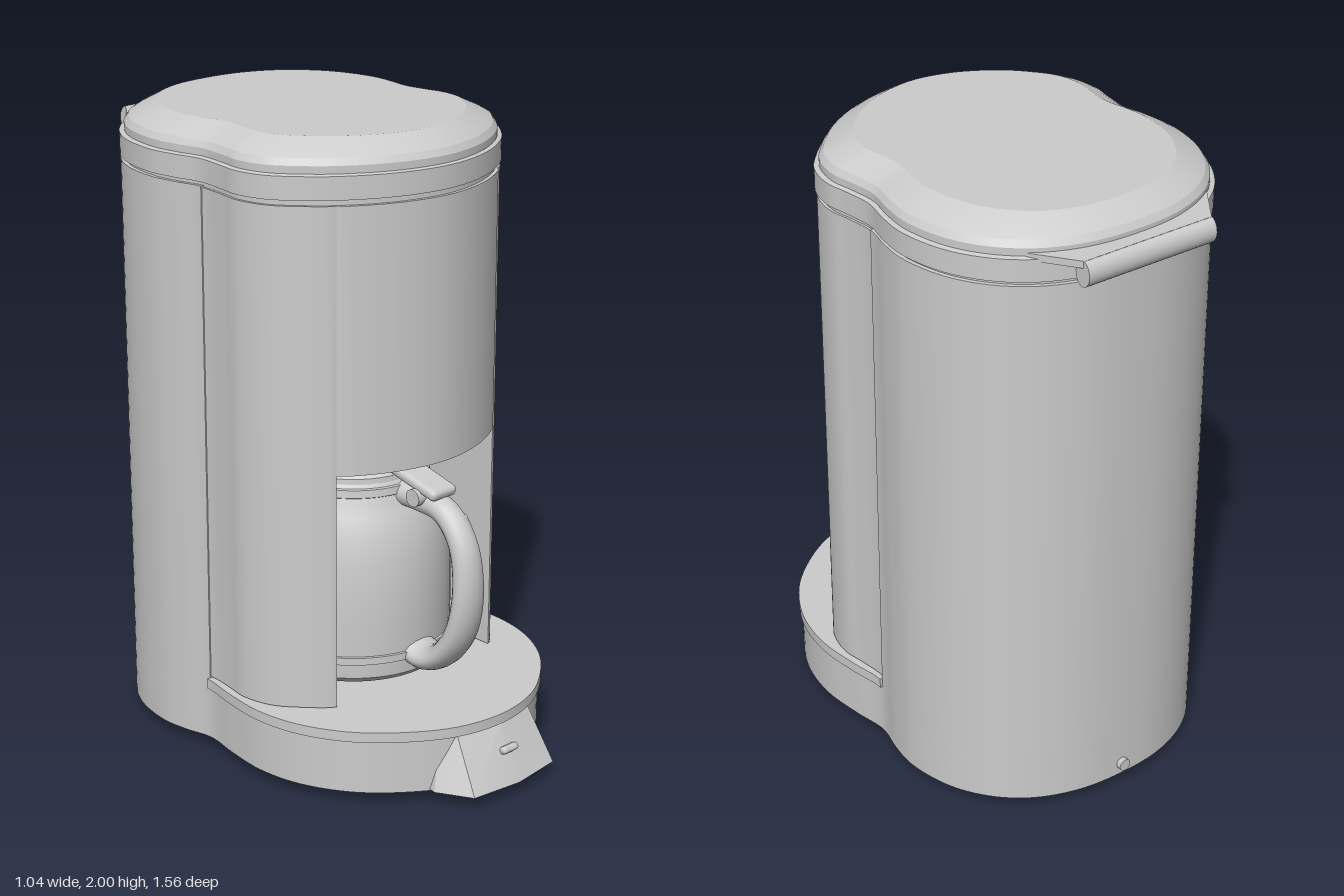
import * as THREE from 'three';
import { toCreasedNormals } from 'three/addons/utils/BufferGeometryUtils.js';
import { RoundedBoxGeometry } from 'three/addons/geometries/RoundedBoxGeometry.js';

const V2 = (x, z) => new THREE.Vector2(x, z);
const material = new THREE.MeshStandardMaterial({ color: 0xcccccc, side: THREE.DoubleSide });

// Plan outlines are given as half profiles [x, z] running from the back to the front.
const BACK = [[0, -0.72], [0.16, -0.705], [0.3, -0.65], [0.4, -0.565], [0.47, -0.45],
  [0.503, -0.3], [0.495, -0.2], [0.475, -0.1]];
const BASE_FRONT = [[0.495, 0.02], [0.51, 0.17], [0.485, 0.32], [0.41, 0.465], [0.3, 0.575],
  [0.16, 0.66], [0, 0.69]];
const BODY_FRONT = [[0.485, 0], [0.497, 0.08], [0.475, 0.18], [0.42, 0.255], [0.335, 0.335],
  [0.18, 0.42], [0, 0.455]];

// Close a half outline by mirroring it across x = 0.
function mirror(half) {
  const left = half.filter(p => p.x > 1e-4).map(p => V2(-p.x, p.y)).reverse();
  return [...half, ...left];
}

// Smooth a half profile into a dense half outline.
function smoothHalf(pairs) {
  const ring = mirror(pairs.map(([x, z]) => V2(x, z)));
  const curve = new THREE.CatmullRomCurve3(ring.map(p => new THREE.Vector3(p.x, 0, p.y)), true);
  const n = pairs.length - 1, steps = n * 6, half = [];
  for (let i = 0; i <= steps; i++) {
    const p = curve.getPoint(i / (steps * 2));
    half.push(V2(i === 0 || i === steps ? 0 : p.x, p.z));
  }
  return half;
}

// Upright prism with a plan outline between two heights.
function prism(outline, y0, y1) {
  const shape = new THREE.Shape(outline.map(p => V2(p.x, -p.y)));
  const geo = new THREE.ExtrudeGeometry(shape, { depth: y1 - y0, bevelEnabled: false });
  geo.rotateX(-Math.PI / 2).translate(0, y0, 0);
  return toCreasedNormals(geo, 0.5);
}

// Skin over a stack of closed rings, from bottom to top.
function loft(rings, crease) {
  const n = rings[0].length, index = [];
  for (let r = 0; r < rings.length - 1; r++) {
    for (let i = 0; i < n; i++) {
      const a = r * n + i, b = r * n + (i + 1) % n;
      index.push(a, a + n, b, a + n, b + n, b);
    }
  }
  const geo = new THREE.BufferGeometry().setFromPoints(rings.flat());
  geo.setIndex(index);
  return toCreasedNormals(geo, crease);
}

// Ring of an outline at a height, scaled about a centre in z.
const ringAt = (outline, y, sx, sz, cz) =>
  outline.map(p => new THREE.Vector3(p.x * sx, y, cz + (p.y - cz) * sz));

function add(parent, name, geo, x = 0, y = 0, z = 0) {
  const mesh = new THREE.Mesh(geo, material);
  mesh.name = name;
  mesh.position.set(x, y, z);
  parent.add(mesh);
  return mesh;
}

function lathe(pairs, segments) {
  const geo = new THREE.LatheGeometry(pairs.map(([r, y]) => V2(r, y)), segments);
  return toCreasedNormals(geo, 0.5);
}

function buildBase(g) {
  const half = smoothHalf([...BACK, ...BASE_FRONT]);
  add(g, 'base', prism(mirror(half), 0.04, 0.215));
  // Top plate with a small overhang
  const plate = half.filter(p => p.y >= -0.1).map(p => V2(p.x * 1.02, 0.1 + (p.y - 0.1) * 1.015));
  add(g, 'basePlate', prism(mirror(plate), 0.212, 0.245));
  // Sloping control nose
  const nose = (pairs) => mirror(pairs.map(([x, z]) => V2(x, z)));
  const low = nose([[0, 0.5], [0.22, 0.58], [0.235, 0.65], [0.175, 0.76], [0, 0.782]]);
  const high = nose([[0, 0.5], [0.165, 0.55], [0.175, 0.61], [0.155, 0.665], [0, 0.695]]);
  add(g, 'controlNose', loft([ringAt(low, 0.045, 0, 0, 0.6), ringAt(low, 0.045, 1, 1, 0),
    ringAt(high, 0.212, 1, 1, 0), ringAt(high, 0.212, 0, 0, 0.6)], 0.3));
  const button = add(g, 'powerSwitch', new RoundedBoxGeometry(0.066, 0.024, 0.03, 2, 0.01), 0, 0.142, 0.733);
  button.rotation.x = -0.48;
  // Feet
  const foot = new THREE.CylinderGeometry(0.072, 0.045, 0.042, 20);
  const feet = [[0, 0.67]];
  for (const s of [-1, 1]) feet.push([s * 0.31, 0.37], [s * 0.31, -0.08], [s * 0.28, -0.49]);
  for (const [x, z] of feet) add(g, 'foot', foot, x, 0.021, z);
}

function buildBody(g) {
  const half = smoothHalf([...BACK, ...BODY_FRONT]);
  // Rear housing, hollowed in front for the carafe
  const rear = half.filter(p => p.y <= -0.09);
  for (let i = 0; i <= 12; i++) {
    const a = i / 12 * Math.PI / 2;
    rear.push(V2(i === 12 ? 0 : 0.335 * Math.cos(a), -0.095 - 0.2 * Math.sin(a)));
  }
  add(g, 'rearHousing', prism(mirror(rear), 0.21, 1.825));
  // Side panels, set in slightly from the rear housing
  const arc = half.filter(p => p.y >= -0.1 && p.x >= 0.34).map(p => V2(p.x * 0.992, p.y));
  const panel = [...arc, V2(0.335, 0.328), V2(0.335, -0.1)];
  add(g, 'sidePanelLeft', prism(panel, 0.25, 1.82));
  add(g, 'sidePanelRight', prism(panel.map(p => V2(-p.x, p.y)), 0.25, 1.82));
  // Brewing head behind the curved front panel
  const front = half.filter(p => p.y > 0 && p.x < 0.335);
  const head = [V2(0, -0.296), V2(0.18, -0.262), V2(0.335, -0.1), V2(0.335, 0.325), ...front];
  add(g, 'brewHead', prism(mirror(head), 1, 1.82));
  add(g, 'dripNozzle', lathe([[0, 0.93], [0.06, 0.93], [0.09, 0.962], [0.082, 0.965],
    [0.102, 1.0], [0, 1.0]], 32), 0, 0, 0.05);
  // Cord outlet
  const outlet = add(g, 'cordOutlet', new THREE.CylinderGeometry(0.02, 0.02, 0.03, 20), 0, 0.08, -0.722);
  outlet.rotation.x = Math.PI / 2;
  return half;
}

function buildLid(g, half) {
  // Each step is height, x scale, z scale
  const steps = [[1.82, 0, 0], [1.82, 0.975, 0.98], [1.838, 0.975, 0.98], [1.838, 1.005, 1.002],
    [1.908, 1.005, 1.002], [1.912, 0.975, 0.982], [1.935, 0.975, 0.982], [1.955, 0.95, 0.96],
    [1.972, 0.895, 0.92], [2, 0.78, 0.838], [2, 0, 0]];
  const outline = mirror(half);
  add(g, 'lid', loft(steps.map(([y, sx, sz]) => ringAt(outline, y, sx, sz, -0.13)), 0.3));
  // Hinge bar and its bracket
  const bracket = mirror([V2(0, -0.5), V2(0.3, -0.5), V2(0.345, -0.59), V2(0.225, -0.755), V2(0, -0.755)]);
  add(g, 'hingeBracket', prism(bracket, 1.9, 1.922));
  const bar = add(g, 'hingeBar', new THREE.CylinderGeometry(0.04, 0.04, 0.452, 28), 0, 1.882, -0.75);
  bar.rotation.z = Math.PI / 2;
  bar.scale.z = 0.75;
}

function buildCarafe(g) {
  const carafe = new THREE.Group();
  carafe.name = 'carafe';
  carafe.position.z = 0.05;
  g.add(carafe);
  add(carafe, 'jug', lathe([[0, 0.247], [0.24, 0.247], [0.285, 0.265], [0.305, 0.285], [0.308, 0.33],
    [0.308, 0.36], [0.31, 0.45], [0.308, 0.56], [0.3, 0.66], [0.285, 0.74], [0.262, 0.8],
    [0.24, 0.84], [0.232, 0.88], [0.22, 0.895], [0, 0.895]], 56));
  add(carafe, 'jugBand', lathe([[0.3, 0.33], [0.315, 0.333], [0.315, 0.357], [0.3, 0.36]], 56));
  add(carafe, 'jugCollar', lathe([[0.235, 0.852], [0.241, 0.856], [0.238, 0.88], [0.225, 0.884]], 56));
  add(carafe, 'jugLid', lathe([[0.222, 0.89], [0.22, 0.91], [0.2, 0.93], [0.17, 0.936], [0, 0.936]], 48));
  // Handle: a tube widened towards its foot
  const path = new THREE.CatmullRomCurve3([[0.2, 0.85], [0.31, 0.848], [0.4, 0.835], [0.475, 0.755],
    [0.502, 0.6], [0.47, 0.45], [0.4, 0.36], [0.335, 0.336], [0.26, 0.36]]
    .map(([z, y]) => new THREE.Vector3(0, y, z)));
  const tube = new THREE.TubeGeometry(path, 48, 0.04, 16);
  const pos = tube.attributes.position;
  for (let i = 0; i < pos.count; i++) {
    const t = THREE.MathUtils.clamp((0.85 - pos.getY(i)) / 0.5, 0, 1);
    pos.setX(i, pos.getX(i) * (1.1 + 0.65 * t));
  }
  tube.computeVertexNormals();
  add(carafe, 'handle', tube);
  add(carafe, 'handleInset', new RoundedBoxGeometry(0.026, 0.06, 0.02, 2, 0.008), 0.025, 0.805, 0.465).rotation.x = -0.6;
  // Thumb lever and its hinge
  const lever = add(carafe, 'thumbLever', new RoundedBoxGeometry(0.105, 0.036, 0.2, 3, 0.016), 0, 0.912, 0.305);
  lever.rotation.x = 0.25;
  const pin = add(carafe, 'leverHinge', new THREE.CylinderGeometry(0.028, 0.028, 0.13, 16), 0, 0.872, 0.325);
  pin.rotation.z = Math.PI / 2;
}

export function createModel() {
  const model = new THREE.Group();
  model.name = 'coffeeMaker';
  buildBase(model);
  const bodyHalf = buildBody(model);
  buildLid(model, bodyHalf);
  buildCarafe(model);
  return model;
}
